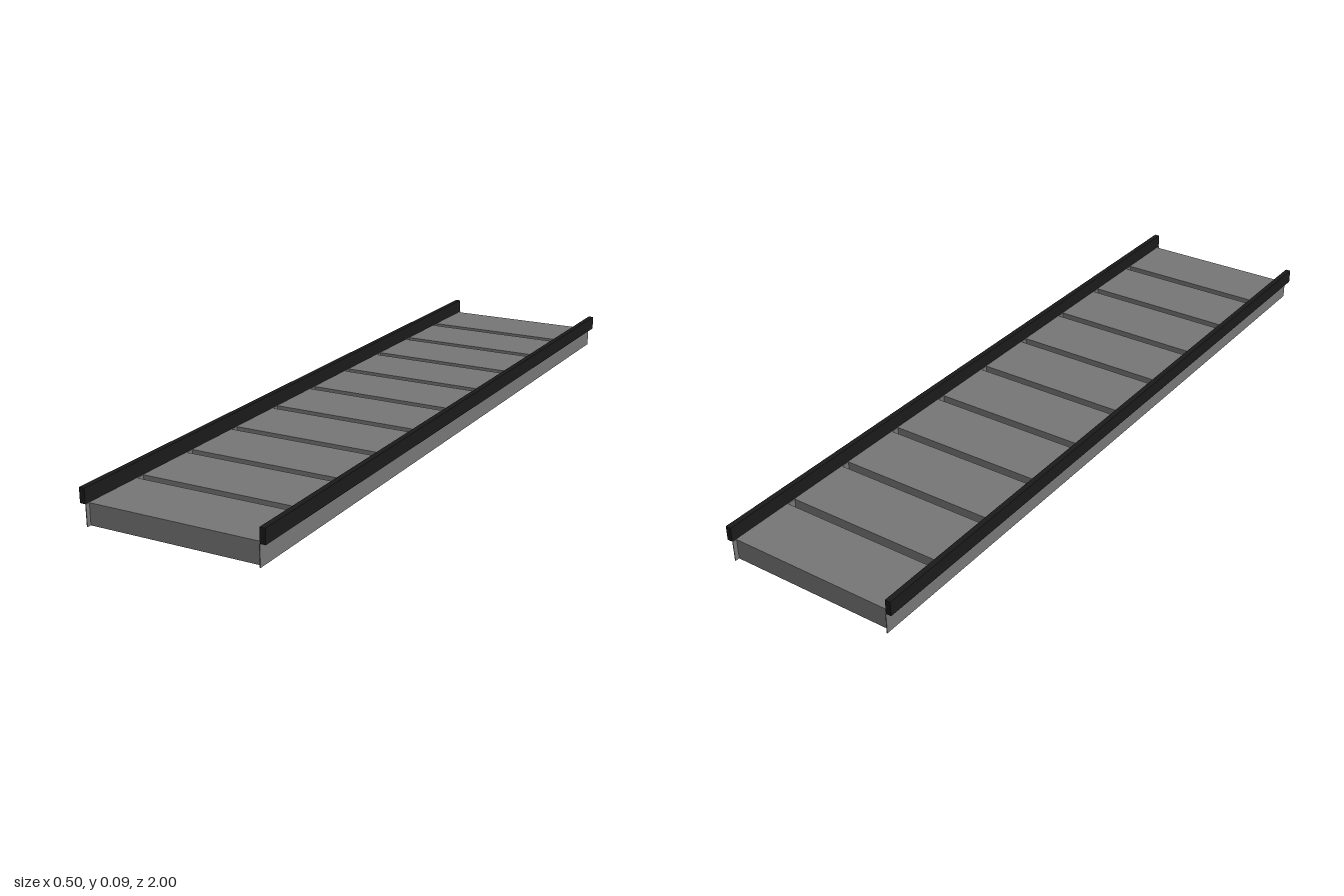
import * as THREE from 'three';

export function createModel() {
  const group = new THREE.Group();
  const grey = new THREE.MeshStandardMaterial({ color: 0x777777 });
  const dark = new THREE.MeshStandardMaterial({ color: 0x1a1a1a });

  const addBox = (name, material, [w, h, d], [x, y, z]) => {
    const mesh = new THREE.Mesh(new THREE.BoxGeometry(w, h, d), material);
    mesh.name = name;
    mesh.position.set(x, y, z);
    group.add(mesh);
  };

  const deckHeight = 0.056;
  const halfWidth = 0.235;
  const plateThickness = 0.002;

  // Ten deck slats with open gaps between them
  const slatCount = 10;
  const pitch = 2 / slatCount;
  const slatWidth = 2 * (halfWidth - plateThickness);
  for (let i = 0; i < slatCount; i++) {
    const z = -1 + pitch * (i + 0.5);
    addBox('slat', grey, [slatWidth, deckHeight, 0.176], [0, deckHeight / 2, z]);
  }

  // Thin side plates and the raised rails on their outer edges
  const railWidth = 0.015;
  const railHeight = 0.039;
  for (const [side, s] of [['left', 1], ['right', -1]]) {
    addBox(`${side}SidePlate`, grey, [plateThickness, deckHeight, 2],
      [s * (halfWidth - plateThickness / 2), deckHeight / 2, 0]);
    addBox(`${side}Rail`, dark, [railWidth, railHeight, 2],
      [s * (halfWidth + railWidth / 2), deckHeight + railHeight / 2, 0]);
  }
  return group;
}
